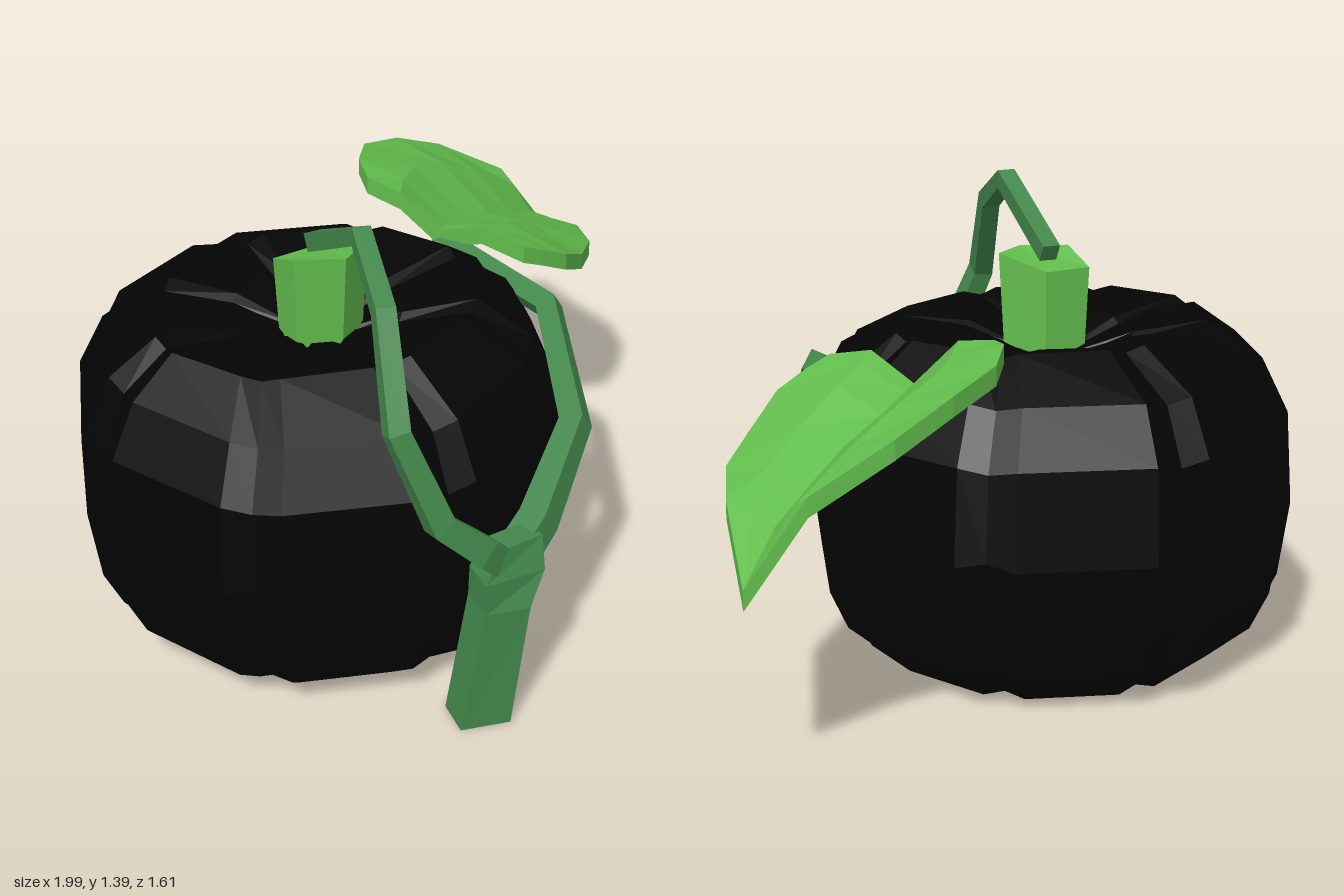
import * as THREE from 'three';

const V = (x, y, z) => new THREE.Vector3(x, y, z);

// Joins equal-sized closed cross-sections into a capped, faceted solid.
function loft(rings) {
  const n = rings[0].length, first = rings[0], last = rings[rings.length - 1], tris = [];
  for (let r = 0; r < rings.length - 1; r++) {
    const a = rings[r], b = rings[r + 1];
    for (let j = 0; j < n; j++) {
      const k = (j + 1) % n;
      tris.push([a[j], a[k], b[k]], [a[j], b[k], b[j]]);
    }
  }
  for (let i = 0; i < n / 2 - 1; i++) {
    const c = n - 2 - i, d = n - 1 - i;
    tris.push([first[i + 1], first[i], first[d]], [first[i + 1], first[d], first[c]]);
    tris.push([last[i], last[i + 1], last[c]], [last[i], last[c], last[d]]);
  }
  // Turn every face outwards
  let volume = 0;
  for (const [a, b, c] of tris) volume += a.dot(b.clone().cross(c));
  const points = [];
  for (const [a, b, c] of tris) {
    if (b.clone().sub(a).cross(c.clone().sub(a)).lengthSq() < 1e-12) continue;
    points.push(...(volume > 0 ? [a, b, c] : [a, c, b]));
  }
  const geometry = new THREE.BufferGeometry().setFromPoints(points);
  geometry.computeVertexNormals();
  return geometry;
}

const CENTRE = V(-0.275, 0.5, -0.075);

// Square-section stalk along [x, y, z, halfWidth] points, one side facing away from the body.
function stalk(path) {
  const pts = path.map(([x, y, z]) => V(x, y, z));
  return loft(pts.map((p, i) => {
    const tangent = V(0, 0, 0);
    if (i > 0) tangent.add(p.clone().sub(pts[i - 1]).normalize());
    if (i < pts.length - 1) tangent.add(pts[i + 1].clone().sub(p).normalize());
    tangent.normalize();
    const side = tangent.clone().cross(p.clone().sub(CENTRE)).normalize();
    const out = side.clone().cross(tangent);
    const h = path[i][3];
    return [[-1, -1], [1, -1], [1, 1], [-1, 1]].map(([s, o]) =>
      p.clone().addScaledVector(side, s * h).addScaledVector(out, o * h));
  }));
}

export function createModel() {
  const black = new THREE.MeshStandardMaterial({ color: 0x040404 });
  const leafGreen = new THREE.MeshStandardMaterial({ color: 0x62bd4d });
  const vineGreen = new THREE.MeshStandardMaterial({ color: 0x43874b });
  black.name = 'black';
  leafGreen.name = 'leaf green';
  vineGreen.name = 'vine green';

  const model = new THREE.Group();
  const add = (name, geometry, material) => {
    const mesh = new THREE.Mesh(geometry, material);
    mesh.name = name;
    model.add(mesh);
  };

  // Squat body: eight lobes parted by narrow grooves, dimpled above and below.
  // Rows are [radius, height, depth scale].
  const profile = [[0.06, 0.07, 1], [0.25, 0.03, 1], [0.51, 0.015, 1], [0.645, 0.13, 1],
    [0.7, 0.25, 1], [0.73, 0.48, 1], [0.71, 0.76, 1], [0.63, 0.92, 1],
    [0.49, 1.02, 0.85], [0.25, 0.985, 1], [0.08, 0.92, 1]];
  add('body', loft(profile.map(([r, y, depth]) => {
    const ring = [];
    for (let k = 0; k < 8; k++) {
      for (const s of [-1, 0, 1]) {
        const a = k * Math.PI / 4 + s * 0.12;
        const groove = s === 0 ? 0.02 : 0;
        const radius = r * (1 - groove);
        ring.push(V(CENTRE.x + radius * Math.cos(a), y + Math.sign(0.5 - y) * groove * 0.8,
          CENTRE.z + radius * Math.sin(a) * depth));
      }
    }
    return ring;
  })), black);

  // Five-sided stem, cut at a slant behind
  const stemPlan = [[-0.39, -0.11], [-0.24, -0.11], [-0.15, 0.01], [-0.26, 0.075], [-0.39, 0.01]];
  add('stem', loft([
    stemPlan.map(([x, z]) => V(-0.275 + (x + 0.275) * 0.9, 0.9, z * 0.85 - 0.015)),
    stemPlan.map(([x, z]) => V(x, z < -0.05 ? 1.165 : 1.21, z)),
  ]), leafGreen);

  // Vine: slightly turned trunk forking into a hooked arm and a leaf stalk
  const trunkRing = (y, corners) => corners.map(([x, z]) => V(x, y, z));
  add('vineTrunk', loft([
    trunkRing(0.015, [[-0.31, 0.75], [-0.17, 0.795], [-0.15, 0.685], [-0.29, 0.64]]),
    trunkRing(0.42, [[-0.25, 0.775], [-0.125, 0.81], [-0.11, 0.695], [-0.235, 0.665]]),
    trunkRing(0.52, [[-0.25, 0.775], [-0.07, 0.795], [-0.05, 0.68], [-0.235, 0.67]]),
    trunkRing(0.615, [[-0.2, 0.765], [-0.06, 0.765], [-0.06, 0.69], [-0.2, 0.69]]),
  ]), vineGreen);
  add('vineHook', stalk([[-0.18, 0.555, 0.725, 0.042], [-0.245, 0.62, 0.735, 0.042],
    [-0.36, 0.73, 0.71, 0.036], [-0.445, 1.01, 0.63, 0.031], [-0.38, 1.275, 0.465, 0.028],
    [-0.315, 1.38, 0.25, 0.027], [-0.28, 1.21, -0.065, 0.027]]), vineGreen);
  add('leafStalk', stalk([[-0.13, 0.53, 0.725, 0.045], [-0.02, 0.605, 0.69, 0.043],
    [0.2, 0.77, 0.55, 0.036], [0.375, 0.905, 0.17, 0.032], [0.355, 0.905, -0.05, 0.031],
    [0.33, 0.91, -0.34, 0.028]]), vineGreen);

  // Folded leaf: sections run from the far edge over the midrib to the near edge
  const sections = [
    [[0.16, 1.1, -0.5], [0.21, 1.08, -0.39], [0.31, 0.955, -0.32], [0.36, 1.02, -0.16], [0.43, 0.99, -0.04]],
    [[0.19, 1.115, -0.6], [0.28, 1.07, -0.48], [0.36, 0.945, -0.355], [0.41, 1.0, -0.2], [0.5, 0.96, -0.04]],
    [[0.28, 1.095, -0.715], [0.38, 1.05, -0.57], [0.46, 0.91, -0.41], [0.51, 0.96, -0.25], [0.6, 0.91, -0.05]],
    [[0.44, 1.05, -0.775], [0.52, 1.0, -0.62], [0.6, 0.86, -0.47], [0.66, 0.88, -0.32], [0.73, 0.83, -0.14]],
    [[0.62, 0.97, -0.8], [0.68, 0.91, -0.65], [0.74, 0.79, -0.54], [0.79, 0.81, -0.4], [0.85, 0.785, -0.26]],
    [[0.84, 0.84, -0.75], [0.85, 0.8, -0.69], [0.87, 0.73, -0.62], [0.89, 0.74, -0.52], [0.92, 0.75, -0.42]],
    Array(5).fill([0.995, 0.6, -0.69]),
  ];
  add('leaf', loft(sections.map((section) => {
    const top = section.map(([x, y, z]) => V(x, y, z));
    const under = top.map((p) => V(p.x, p.y - 0.055, p.z)).reverse();
    return [...top, ...under];
  })), leafGreen);

  return model;
}
